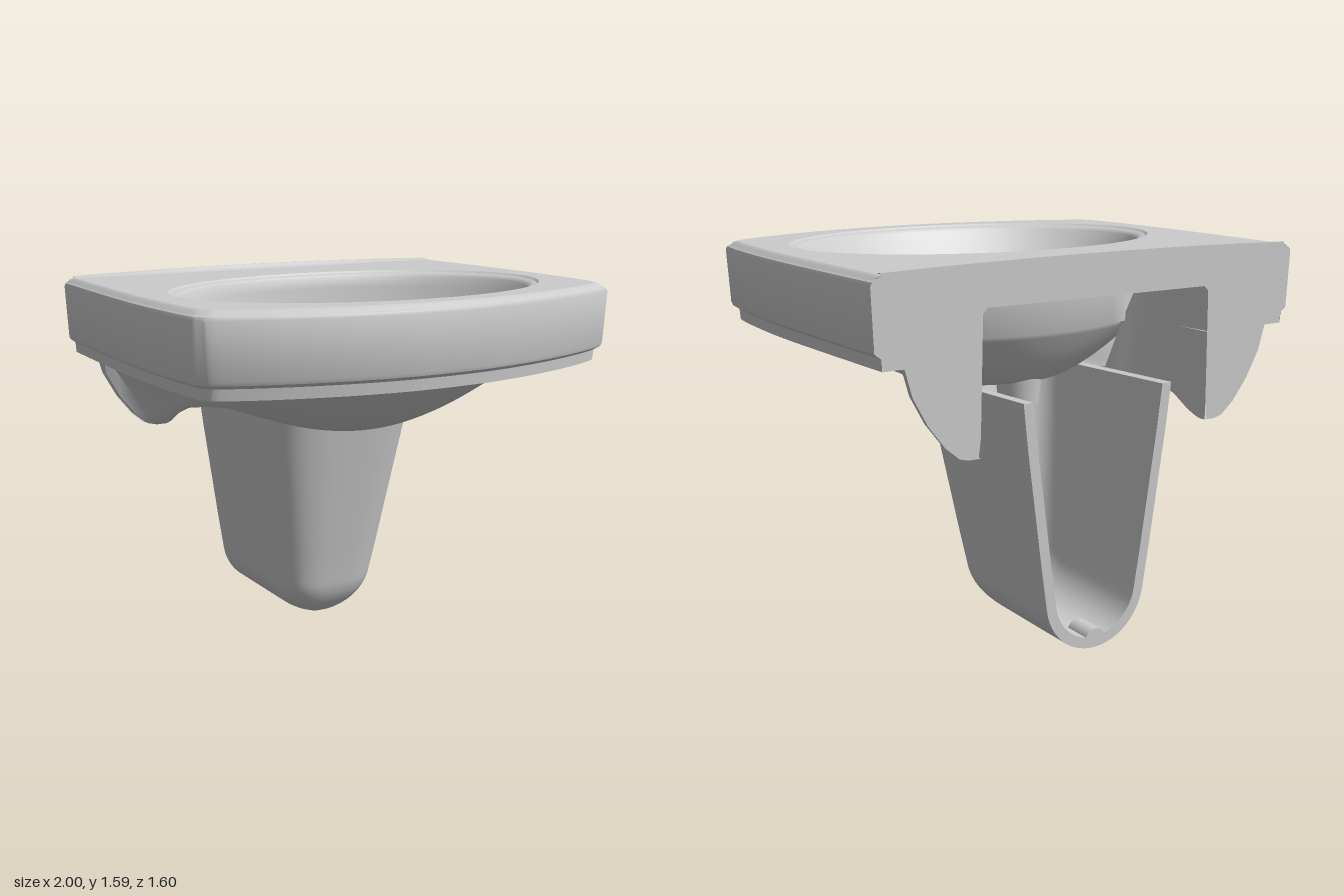
import * as THREE from 'three';
import { toCreasedNormals } from 'three/addons/utils/BufferGeometryUtils.js';

const material = new THREE.MeshStandardMaterial({ color: 0xcccccc, side: THREE.DoubleSide });
const BACK = -0.8;

// Surface through rows of [x, y, z] points
function skin(rows, closed = false) {
  const n = rows[0].length, index = [];
  for (let r = 0; r < rows.length - 1; r++) {
    for (let i = 0; i < (closed ? n : n - 1); i++) {
      const j = (i + 1) % n, a = r * n + i, b = r * n + j;
      index.push(a, a + n, b, b, a + n, b + n);
    }
  }
  const geometry = new THREE.BufferGeometry();
  geometry.setAttribute('position', new THREE.Float32BufferAttribute(rows.flat(2), 3));
  geometry.setIndex(index);
  return toCreasedNormals(geometry, 0.6);
}

// Flat horizontal face from [x, z] points
function flat(points, y, hole) {
  const v = (list) => list.map(([x, z]) => new THREE.Vector2(x, z));
  const shape = new THREE.Shape(v(points));
  if (hole) shape.holes.push(new THREE.Path(v(hole)));
  return new THREE.ShapeGeometry(shape).rotateX(Math.PI / 2).translate(0, y, 0);
}

function arc(cz, a, b, from, to, n) {
  return Array.from({ length: n + 1 }, (_, i) => {
    const t = from + (to - from) * i / n;
    return [a * Math.cos(t), cz + b * Math.sin(t)];
  });
}
const oval = (cz, a, b) => arc(cz, a, b, 0, Math.PI * 2, 72).slice(0, -1);
const lift = (points, y) => points.map(([x, z]) => [x, y, z]);

// Plan of the basin: bowed sides, rounded corners, curved front, straight back
function outline(inset) {
  const half = new THREE.SplineCurve([
    [0.975, -0.8], [0.99, -0.4], [1, 0], [0.99, 0.3], [0.972, 0.5], [0.95, 0.56], [0.9, 0.6],
    [0.7, 0.68], [0.45, 0.75], [0.2, 0.791], [0, 0.8],
  ].map((p) => new THREE.Vector2(...p))).getPoints(60).map((p) => [
    p.x * (1 - inset), BACK + (p.y - BACK) * (1 - inset / 1.6),
  ]);
  return [...half, ...half.slice(0, -1).reverse().map(([x, z]) => [-x, z])];
}

// Bracket edge as seen from the back, from the rim down to the foot
const bracketEdge = [[0.85, 1.235], [0.82, 1.13], [0.76, 1.02], [0.69, 0.93], [0.63, 0.88], [0.59, 0.87], [0.55, 0.87]];

export function createModel() {
  const model = new THREE.Group();
  const add = (name, geometry, parent = model) => {
    const mesh = new THREE.Mesh(geometry, material);
    mesh.name = name;
    parent.add(mesh);
    return mesh;
  };

  // Rim with rounded top edge and stepped lower edge
  const rim = new THREE.Group();
  rim.name = 'rim';
  model.add(rim);
  const rimProfile = [[0.04, 1.235], [0.037, 1.28], [0.015, 1.295], [0.01, 1.31], [0, 1.53],
    [0.006, 1.543], [0.018, 1.548], [0.026, 1.558], [0.045, 1.565]];
  add('rimSide', skin(rimProfile.map(([d, y]) => lift(outline(d), y))), rim);
  add('rimTop', flat(outline(0.045), 1.565, oval(0.1, 0.835, 0.565)), rim);

  // Underside, open behind the bowl
  const cut = 0.53, angle = Math.acos(cut / 0.78);
  const front = arc(0.05, 0.78, 0.55, Math.PI + angle, -angle, 60);
  const rear = arc(0.05, 0.78, 0.55, -angle, angle - Math.PI, 30);
  add('rimUnderside', flat([...outline(0.04), [-cut, BACK], ...front, [cut, BACK]], 1.235), rim);
  add('recessCeiling', flat([[-cut, BACK], [cut, BACK], ...rear], 1.42), rim);

  // Flat wall side with the two bracket ends
  const backHalf = [[0.93, 1.565], [0.965, 1.548], [0.975, 1.53], [0.965, 1.3], [0.936, 1.28], [0.936, 1.235],
    ...bracketEdge, [0.54, 0.95], [cut, 1.4], [0.51, 1.42]];
  const backShape = new THREE.Shape([...backHalf, ...backHalf.slice().reverse().map(([x, y]) => [-x, y])]
    .map((p) => new THREE.Vector2(...p)));
  add('wallFace', new THREE.ShapeGeometry(backShape).translate(0, 0, BACK));

  // Low crowned lip along the wall
  const lip = [[-0.8, 0], [-0.8, 1], [-0.79, 1], [-0.78, 0.6], [-0.77, 0.15], [-0.755, 0]];
  add('backLip', skin(lip.map(([z, k]) => Array.from({ length: 25 }, (_, i) => {
    const u = i / 12 - 1;
    return [0.935 * u, 1.565 + k * (0.007 + 0.014 * (1 - u * u)), z];
  }))));

  // Bowl inside: stepped oval edge, then a hollow running back to the drain
  const inside = [[0.835, 0.565, 1.565], [0.825, 0.557, 1.557], [0.803, 0.543, 1.555], [0.79, 0.533, 1.55]]
    .map(([a, b, y]) => lift(oval(0.1, a, b), y));
  for (let i = 24; i >= 0; i--) {
    const s = i / 24;
    inside.push(lift(oval(-0.24 + 0.34 * s, 0.09 + 0.69 * s, 0.09 + 0.437 * s), 1.05 + 0.49 * s ** 2.2));
  }
  inside.push(lift(oval(-0.24, 0, 0), 1.05));
  add('bowlInside', skin(inside, true));

  // Bowl outside: base rises gently towards the wall
  const outside = [lift(oval(0.05, 0.785, 0.553), 1.42)];
  for (let i = 20; i >= 0; i--) {
    const s = i / 20;
    outside.push(oval(-0.1 + 0.15 * s, 0.2 + 0.58 * s, 0.2 + 0.35 * s)
      .map(([x, z]) => [x, 0.95 + 0.285 * s ** 1.5 + 0.125 * (1 - s) * (0.1 - z), z]));
  }
  outside.push(lift(oval(-0.1, 0, 0), 0.975));
  add('bowlOutside', skin(outside, true));

  // Drain strainer and tail
  const drain = new THREE.Group();
  drain.name = 'drain';
  drain.position.set(0, 1.06, -0.24);
  model.add(drain);
  add('drainPlate', new THREE.CylinderGeometry(0.085, 0.085, 0.01, 40), drain);
  add('drainRing', new THREE.TorusGeometry(0.08, 0.014, 8, 40).rotateX(Math.PI / 2), drain);
  add('drainHub', new THREE.CylinderGeometry(0.018, 0.018, 0.034, 20), drain);
  for (let i = 0; i < 12; i++) {
    add('drainSpoke', new THREE.BoxGeometry(0.06, 0.03, 0.012).translate(0.045, 0, 0).rotateY(i * Math.PI / 6), drain);
  }
  add('drainTail', new THREE.CylinderGeometry(0.1, 0.085, 0.14, 32).translate(0, -0.09, 0), drain);

  // Brackets: the wall-side profile shrinks and runs forward into the sides of the bowl
  // [z, inner x, lower outer x, outer x at the rim, foot y, inner top y]
  const sections = [[-0.8, 0.54, 0.85, 0.85, 0.87, 1.42], [-0.765, 0.54, 0.845, 0.845, 0.87, 1.42],
    [-0.745, 0.54, 0.75, 0.835, 0.875, 1.42], [-0.7, 0.535, 0.7, 0.83, 0.895, 1.42],
    [-0.62, 0.53, 0.66, 0.825, 0.945, 1.42], [-0.55, 0.51, 0.63, 0.82, 0.98, 1.42],
    [-0.46, 0.46, 0.6, 0.815, 0.995, 1.42], [-0.4, 0.42, 0.57, 0.81, 1.0, 1.24],
    [-0.34, 0.38, 0.54, 0.805, 1.0, 1.03], [-0.2, 0.36, 0.52, 0.795, 0.998, 1.02],
    [-0.05, 0.36, 0.51, 0.785, 1.005, 1.02], [0.1, 0.38, 0.5, 0.77, 1.03, 1.04]];
  const bracketRows = sections.map(([z, xi, xo, xRim, foot, top]) => [
    ...bracketEdge.map(([x, y]) => {
      const k = (y - 0.87) / 0.365;
      return [xi + (xo + (xRim - xo) * k * k - xi) * (x - 0.55) / 0.3, foot + (1.235 - foot) * k, z];
    }),
    [xi, top, z],
  ]);
  for (const side of [1, -1]) {
    add(side > 0 ? 'leftBracket' : 'rightBracket',
      skin(bracketRows.map((row) => row.map(([x, y, z]) => [side * x, y, z]))));
  }

  // Half pedestal: open-backed shell, round at the bottom, leaning forward
  const shell = (t) => {
    const levels = [];
    for (let i = 0; i <= 12; i++) {
      const a = i / 12 * 1.45;
      levels.push([(0.24 - t) * Math.sin(a), 0.24 - (0.24 - t) * Math.cos(a), -0.3 + (0.2 - t) * Math.sin(a), 0]);
    }
    for (let i = 1; i <= 5; i++) {
      const k = i / 5;
      levels.push([0.24 + 0.114 * k - t, 0.21 + 0.81 * k, -0.1 + 0.16 * k - t, i === 5 ? 0.035 : 0]);
    }
    return levels.map(([w, y, f, slope]) => {
      const half = [[w, BACK], [w, (BACK + f - 0.2) / 2]];
      for (let i = 0; i <= 16; i++) {
        const a = i / 16 * Math.PI / 2;
        half.push([w * Math.abs(Math.cos(a)) ** 0.65, f - 0.2 + 0.2 * Math.sin(a) ** 0.65]);
      }
      half[half.length - 1][0] = 0;
      return [...half, ...half.slice(0, -1).reverse().map(([x, z]) => [-x, z])]
        .map(([x, z]) => [x, y + slope * (f - z), z]);
    });
  };
  const pedestal = new THREE.Group();
  pedestal.name = 'pedestal';
  model.add(pedestal);
  const outer = shell(0), inner = shell(0.045);
  const backEdge = (rows) => [...rows.map((r) => r[0]).reverse(), ...rows.map((r) => r[r.length - 1])];
  add('pedestalOutside', skin(outer), pedestal);
  add('pedestalInside', skin(inner), pedestal);
  add('pedestalBackEdge', skin([backEdge(outer), backEdge(inner)]), pedestal);
  add('pedestalTopEdge', skin([outer.at(-1), inner.at(-1)]), pedestal);

  // Small fixing arch on the pedestal floor
  add('fixingArch', new THREE.CylinderGeometry(0.05, 0.05, 0.12, 20, 1, false, 0, Math.PI)
    .rotateZ(Math.PI / 2).rotateY(Math.PI / 2).translate(0, 0.03, -0.74), pedestal);

  return model;
}
